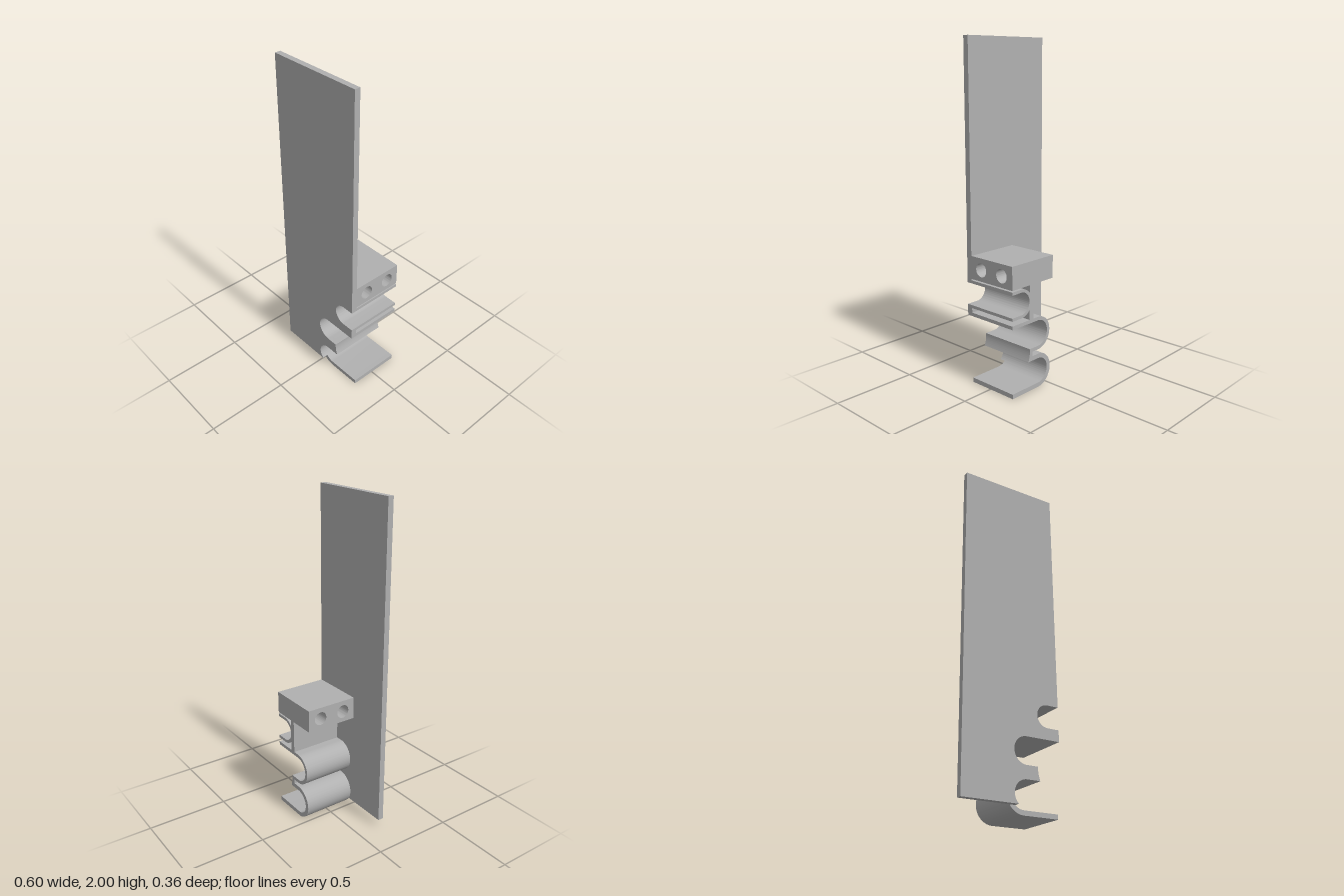
import * as THREE from 'three';
import { toCreasedNormals } from 'three/addons/utils/BufferGeometryUtils.js';

const BACK = -0.18, MID = 0.145, FRONT = 0.18, RIGHT = 0.3;
const UP = Math.PI / 2, DOWN = Math.PI * 1.5;

// Round-bottomed channels: centre, inner radius, wall, and leg ends
const upper = { x: 0.228, y: 0.545, r: 0.066, t: 0.018, top: RIGHT, bottom: RIGHT };
const middle = { x: 0.09, y: 0.334, r: 0.078, t: 0.021, top: RIGHT, bottom: 0.14 };
const lower = { x: 0.0885, y: 0.1035, r: 0.0765, t: 0.027, top: 0.14, bottom: RIGHT };

export function createModel() {
  const group = new THREE.Group();
  group.name = 'clipBracket';
  const grey = new THREE.MeshStandardMaterial({ color: 0xb0b0b0 });
  grey.name = 'grey';

  const extrude = (name, shape, from, to) => {
    const geo = new THREE.ExtrudeGeometry(shape, { depth: to - from, bevelEnabled: false, curveSegments: 32 });
    geo.translate(0, 0, from);
    const mesh = new THREE.Mesh(toCreasedNormals(geo, 0.5), grey);
    mesh.name = name;
    group.add(mesh);
    return mesh;
  };

  // Tall face plate with the channel mouths cut out of its right edge
  const plate = new THREE.Shape();
  const bottom = 0.048;
  plate.moveTo(-0.3, bottom);
  const start = Math.PI + Math.asin((lower.y - bottom) / lower.r);
  plate.lineTo(lower.x + lower.r * Math.cos(start), bottom);
  plate.absarc(lower.x, lower.y, lower.r, start, UP, true);
  plate.lineTo(0.17, 0.18);
  plate.quadraticCurveTo(0.155, 0.222, 0.158, 0.256);
  plate.absarc(middle.x, middle.y, middle.r, DOWN, UP, true);
  plate.lineTo(RIGHT, middle.y + middle.r);
  plate.lineTo(RIGHT, upper.y - upper.r);
  plate.absarc(upper.x, upper.y, upper.r, DOWN, UP, true);
  plate.lineTo(RIGHT, upper.y + upper.r);
  plate.lineTo(RIGHT, 2);
  plate.lineTo(-0.3, 2);
  extrude('facePlate', plate, MID, FRONT);

  // U-shaped channel walls
  const channel = ({ x, y, r, t, top, bottom }) => {
    const s = new THREE.Shape();
    s.moveTo(top, y + r + t);
    s.lineTo(x, y + r + t);
    s.absarc(x, y, r + t, UP, DOWN, false);
    s.lineTo(bottom, y - r - t);
    s.lineTo(bottom, y - r);
    s.absarc(x, y, r, DOWN, UP, true);
    s.lineTo(top, y + r);
    return s;
  };
  extrude('upperChannel', channel(upper), BACK, MID);
  extrude('middleChannel', channel(middle), BACK, MID);
  extrude('lowerChannel', channel(lower), BACK, MID);

  // Hollow-ended tip joining the middle and lower channels
  const tip = new THREE.Shape();
  tip.moveTo(0.135, 0.18);
  tip.lineTo(0.17, 0.18);
  tip.quadraticCurveTo(0.155, 0.222, 0.158, 0.256);
  tip.lineTo(0.135, 0.256);
  extrude('channelTip', tip, BACK, MID);

  // Upright web between the block and the middle channel
  const web = new THREE.Shape();
  web.moveTo(0.13, 0.42);
  web.lineTo(0.16, 0.42);
  web.lineTo(0.16, 0.64);
  web.lineTo(0.13, 0.64);
  extrude('web', web, BACK, MID);

  // Mounting block with two holes bored across it; drawn in (-z, y)
  const block = new THREE.Shape();
  block.moveTo(-MID, 0.638);
  block.lineTo(-BACK, 0.638);
  block.lineTo(-BACK, 0.775);
  block.lineTo(-MID, 0.775);
  for (const z of [0.065, -0.097]) {
    const hole = new THREE.Path();
    hole.absarc(-z, 0.705, 0.041, 0, Math.PI * 2, true);
    block.holes.push(hole);
  }
  extrude('mountingBlock', block, -0.035, RIGHT).rotation.y = Math.PI / 2;

  return group;
}
